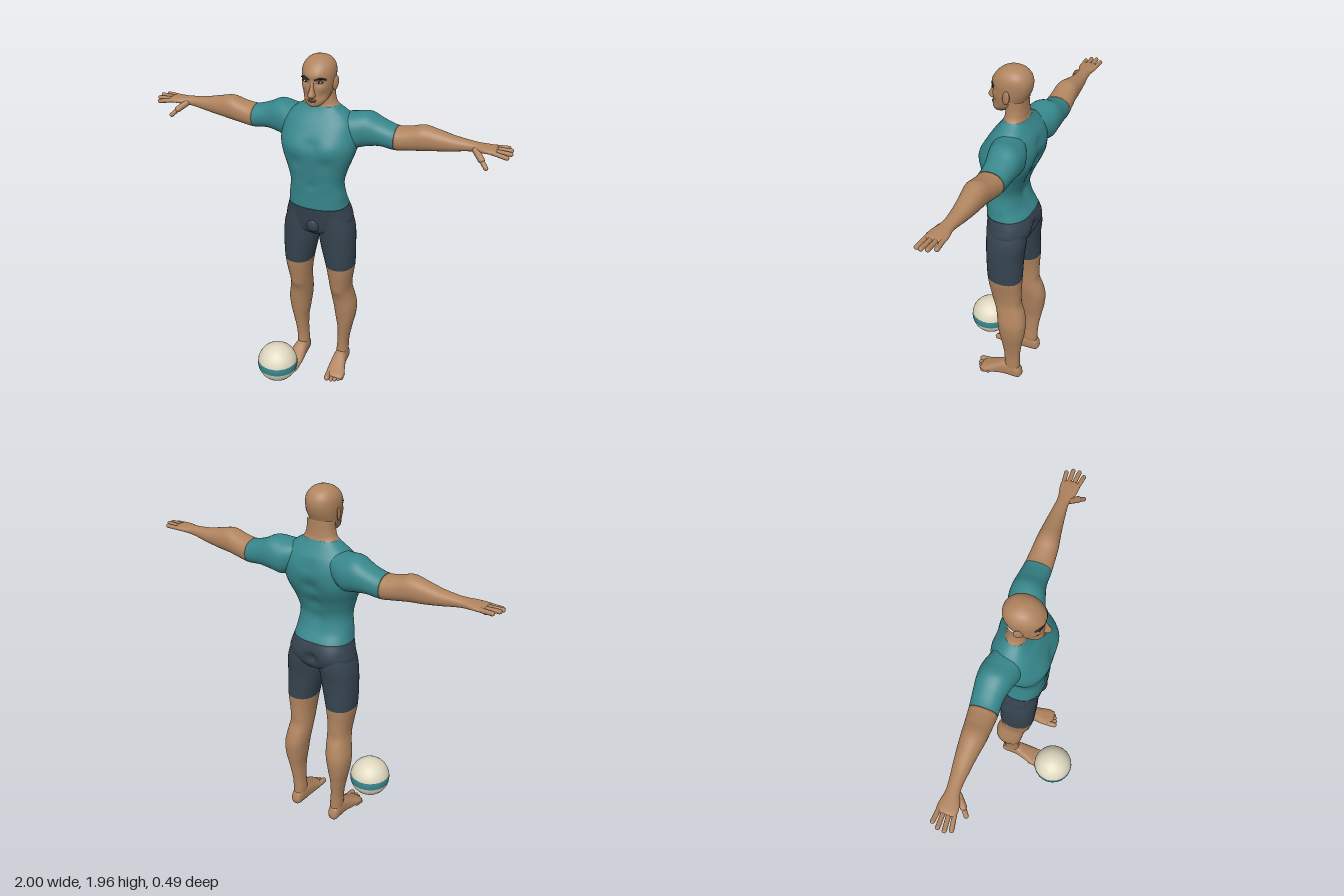
import * as THREE from 'three';

const V = (x, y, z) => new THREE.Vector3(x, y, z);
const paint = (name, color) => Object.assign(new THREE.MeshStandardMaterial({ color }), { name });

// Smooth interpolation of the section table at station t
function sample(rows, t) {
  let i = 0;
  while (i < rows.length - 2 && t > rows[i + 1][0]) i++;
  const a = rows[i], b = rows[i + 1], p = rows[i - 1] || a, n = rows[i + 2] || b;
  const h = b[0] - a[0], u = (t - a[0]) / h;
  return [1, 2, 3, 4].map((k) => {
    const m0 = (b[k] - p[k]) / (b[0] - p[0]) * h, m1 = (n[k] - a[k]) / (n[0] - a[0]) * h;
    const d = b[k] - a[k];
    return a[k] + u * (m0 + u * (3 * d - 2 * m0 - m1 + u * (m0 + m1 - 2 * d)));
  });
}

// Loft of rounded sections along an axis. Row: [station, aMin, aMax, bMin, bMax]
// with (a, b) = (z, y) along x, (x, z) along y and (y, x) along z.
// Bumps [x, y, z, radius, amount] push the skin out or in, on both sides of x = 0.
function loft(axis, rows, from, to, { p = 2.2, bumps = [], cap = false, n = 36, seg = 32 } = {}) {
  const order = { x: [0, 2, 1], y: [1, 0, 2], z: [2, 1, 0] }[axis];
  const pos = [], idx = [];
  const sp = (c) => Math.sign(c) * Math.abs(c) ** (2 / p);
  const put = (t, a, b) => {
    const v = [0, 0, 0];
    v[order[0]] = t; v[order[1]] = a; v[order[2]] = b;
    return v;
  };
  for (let j = 0; j <= seg; j++) {
    const t = from + (to - from) * j / seg;
    const [a0, a1, b0, b1] = sample(rows, t), ca = (a0 + a1) / 2, cb = (b0 + b1) / 2;
    for (let i = 0; i < n; i++) {
      const th = i / n * Math.PI * 2;
      let da = sp(Math.cos(th)) * (a1 - a0) / 2, db = sp(Math.sin(th)) * (b1 - b0) / 2;
      const [x, y, z] = put(t, ca + da, cb + db);
      let push = 0;
      for (const [bx, by, bz, r, amt] of bumps)
        push += amt * Math.exp(-((Math.abs(x) - bx) ** 2 + (y - by) ** 2 + (z - bz) ** 2) / (r * r));
      const s = 1 + push / Math.max(Math.hypot(da, db), 0.01);
      pos.push(...put(t, ca + da * s, cb + db * s));
    }
  }
  for (let j = 0; j < seg; j++) for (let i = 0; i < n; i++) {
    const a = j * n + i, b = j * n + (i + 1) % n;
    idx.push(a, a + n, b, b, a + n, b + n);
  }
  if (cap) [[0, from], [seg, to]].forEach(([j, t], e) => {
    const [a0, a1, b0, b1] = sample(rows, t), c = pos.length / 3;
    pos.push(...put(t, (a0 + a1) / 2, (b0 + b1) / 2));
    for (let i = 0; i < n; i++) {
      const a = j * n + i, b = j * n + (i + 1) % n;
      idx.push(...(e ? [c, b, a] : [c, a, b]));
    }
  });
  const g = new THREE.BufferGeometry();
  g.setAttribute('position', new THREE.Float32BufferAttribute(pos, 3));
  g.setIndex(idx);
  g.computeVertexNormals();
  return g;
}

function capsule(a, b, r) {
  const d = b.clone().sub(a), g = new THREE.CapsuleGeometry(r, d.length(), 5, 12);
  g.applyQuaternion(new THREE.Quaternion().setFromUnitVectors(V(0, 1, 0), d.normalize()));
  return g.translate((a.x + b.x) / 2, (a.y + b.y) / 2, (a.z + b.z) / 2);
}
const blob = (c, r) => new THREE.SphereGeometry(1, 20, 14).scale(...r).translate(...c);

function mirrored(g) {
  const m = g.clone(), p = m.attributes.position, nr = m.attributes.normal, ix = m.index;
  for (let i = 0; i < p.count; i++) { p.setX(i, -p.getX(i)); nr.setX(i, -nr.getX(i)); }
  for (let i = 0; i < ix.count; i += 3) {
    const t = ix.getX(i);
    ix.setX(i, ix.getX(i + 1)); ix.setX(i + 1, t);
  }
  return m;
}

export function createModel() {
  const root = new THREE.Group();
  root.name = 'athlete';
  const skin = paint('skin', 0xb0845f), teal = paint('teal', 0x37878c), navy = paint('dark slate', 0x35434f);
  const cream = paint('cream', 0xe0d9c1), dark = paint('dark brown', 0x2f2824), white = paint('eye white', 0xd8d4cc);
  const lip = paint('lip', 0x875f4a);
  const add = (name, g, m) => {
    const mesh = new THREE.Mesh(g, m);
    mesh.name = name;
    root.add(mesh);
  };
  const pair = (name, g, m) => {
    add(name + 'Left', g, m);
    add(name + 'Right', mirrored(g), m);
  };

  // Trunk: hips, shirt and neck share one set of sections
  const sym = (r) => [r[0], -r[1], r[1], r[2], r[3]];
  const trunk = [
    [0.955, 0.05, -0.15, -0.03], [0.985, 0.145, -0.195, 0], [1.04, 0.187, -0.218, 0.014], [1.09, 0.18, -0.22, 0.022],
    [1.14, 0.165, -0.207, 0.03], [1.2, 0.156, -0.175, 0.032], [1.28, 0.147, -0.162, 0.036], [1.36, 0.166, -0.185, 0.047],
    [1.44, 0.194, -0.215, 0.056], [1.5, 0.207, -0.234, 0.054], [1.56, 0.203, -0.24, 0.032], [1.62, 0.186, -0.222, -0.002],
    [1.66, 0.15, -0.195, -0.034], [1.7, 0.095, -0.17, -0.054], [1.74, 0.078, -0.164, -0.057], [1.8, 0.074, -0.163, -0.06],
  ].map(sym);
  const bumps = [
    [0.09, 1.5, 0.04, 0.065, 0.012], [0, 1.52, 0.05, 0.03, -0.01], [0.08, 1.415, 0.05, 0.035, -0.008],
    [0, 1.28, 0.04, 0.022, -0.006], [0.07, 1.27, 0.03, 0.04, 0.004], [0, 1.26, -0.16, 0.045, -0.012],
    [0, 1.36, -0.19, 0.045, -0.016], [0, 1.47, -0.22, 0.045, -0.018], [0, 1.57, -0.23, 0.04, -0.012],
    [0.12, 1.46, -0.2, 0.07, 0.01], [0.085, 1.06, -0.2, 0.06, 0.012], [0, 1.05, -0.215, 0.028, -0.028],
  ];
  add('shortsHips', loft('y', trunk, 0.955, 1.14, { p: 2.4, bumps, cap: true, n: 56 }), navy);
  add('shirtBody', loft('y', trunk, 1.14, 1.7, { p: 2.4, bumps, n: 56, seg: 56 }), teal);
  add('neck', loft('y', trunk, 1.7, 1.8, { p: 2.3 }), skin);
  add('shortsFront', blob([0, 1.03, -0.008], [0.042, 0.05, 0.036]), navy);

  // Arms: sleeve, bare arm and hand
  const arm = [
    [0.1, -0.205, -0.045, 1.53, 1.655], [0.18, -0.24, -0.045, 1.475, 1.662], [0.25, -0.244, -0.066, 1.485, 1.668],
    [0.32, -0.238, -0.083, 1.495, 1.636], [0.4, -0.23, -0.085, 1.488, 1.612], [0.47, -0.222, -0.088, 1.497, 1.622],
    [0.54, -0.215, -0.092, 1.507, 1.641], [0.62, -0.208, -0.105, 1.517, 1.626], [0.7, -0.199, -0.115, 1.53, 1.608],
    [0.78, -0.189, -0.122, 1.545, 1.598], [0.82, -0.188, -0.116, 1.55, 1.594], [0.86, -0.196, -0.102, 1.555, 1.591],
    [0.905, -0.199, -0.098, 1.559, 1.587], [0.92, -0.19, -0.105, 1.564, 1.583],
  ];
  pair('sleeve', loft('x', arm, 0.1, 0.4), teal);
  pair('armAndPalm', loft('x', arm, 0.4, 0.92, { cap: true, seg: 52 }), skin);
  [[-0.185, -0.192, 0.965, 1.575], [-0.161, -0.16, 0.985, 1.577], [-0.136, -0.128, 0.988, 1.572], [-0.112, -0.099, 0.975, 1.562]]
    .forEach(([z0, z1, x, y], i) => pair('finger' + (i + 1), capsule(V(0.89, 1.573, z0), V(x, y, z1), 0.0115), skin));
  pair('thumbBase', capsule(V(0.815, 1.566, -0.125), V(0.855, 1.535, -0.09), 0.017), skin);
  pair('thumb', capsule(V(0.85, 1.538, -0.094), V(0.885, 1.505, -0.068), 0.012), skin);

  // Legs: shorts leg, bare leg, foot and toes
  const leg = [
    [0.06, 0.098, 0.16, -0.208, -0.112], [0.1, 0.094, 0.163, -0.207, -0.115], [0.18, 0.1, 0.166, -0.209, -0.113],
    [0.28, 0.099, 0.183, -0.222, -0.1], [0.36, 0.087, 0.2, -0.236, -0.087], [0.44, 0.077, 0.206, -0.239, -0.076],
    [0.51, 0.068, 0.195, -0.228, -0.065], [0.58, 0.064, 0.184, -0.211, -0.046], [0.65, 0.059, 0.19, -0.203, -0.026],
    [0.75, 0.043, 0.205, -0.205, -0.01], [0.9, 0.01, 0.208, -0.204, 0.001], [1, 0.001, 0.2, -0.213, 0.006],
    [1.1, 0.005, 0.168, -0.205, 0.01],
  ];
  const kneeBumps = [[0.125, 0.585, -0.045, 0.035, 0.008], [0.125, 0.57, -0.21, 0.04, -0.008], [0.1, 0.45, -0.23, 0.05, 0.004]];
  pair('shortsLeg', loft('y', leg, 0.75, 1.1), navy);
  pair('bareLeg', loft('y', leg, 0.06, 0.75, { bumps: kneeBumps, seg: 60 }), skin);
  const foot = [
    [-0.222, 0.022, 0.048, 0.115, 0.143], [-0.212, 0.006, 0.078, 0.102, 0.157], [-0.17, 0, 0.105, 0.094, 0.163],
    [-0.115, 0, 0.105, 0.09, 0.168], [-0.06, 0, 0.075, 0.086, 0.183], [-0.01, 0, 0.048, 0.086, 0.196],
    [0.02, 0.002, 0.034, 0.092, 0.19], [0.03, 0.008, 0.026, 0.1, 0.175],
  ];
  pair('foot', loft('z', foot, -0.222, 0.03, { p: 2.5, cap: true }), skin);
  [[0.106, 0.046, 0.017], [0.133, 0.046, 0.012], [0.153, 0.038, 0.0115], [0.171, 0.026, 0.011], [0.187, 0.012, 0.0105]]
    .forEach(([x, z, r], i) => pair('toe' + (i + 1), capsule(V(x - 0.003, r + 0.004, z - 0.04), V(x, r, z), r), skin));

  // Head
  const head = [
    [1.713, 0.02, -0.035, 0], [1.722, 0.036, -0.055, 0.012], [1.745, 0.058, -0.095, 0.018], [1.775, 0.071, -0.145, 0.018],
    [1.81, 0.079, -0.167, 0.018], [1.85, 0.084, -0.182, 0.018], [1.885, 0.085, -0.186, 0.017], [1.915, 0.079, -0.178, 0.003],
    [1.94, 0.062, -0.158, -0.022], [1.955, 0.039, -0.13, -0.05], [1.962, 0.012, -0.1, -0.08],
  ].map(sym);
  const faceBumps = [
    [0.035, 1.848, 0.012, 0.02, -0.008], [0.02, 1.875, 0.02, 0.025, 0.004], [0, 1.728, 0.015, 0.02, 0.004],
    [0.055, 1.82, -0.005, 0.025, 0.004], [0.05, 1.78, 0, 0.025, -0.005],
  ];
  add('head', loft('y', head, 1.713, 1.962, { p: 2.15, bumps: faceBumps, cap: true, n: 64, seg: 64 }), skin);
  const nose = [
    [1.768, 0.01, 0, 0.026], [1.774, 0.018, 0, 0.042], [1.785, 0.019, 0, 0.048], [1.81, 0.012, 0, 0.037],
    [1.84, 0.009, 0, 0.024], [1.865, 0.011, 0, 0.018],
  ].map(sym);
  add('nose', loft('y', nose, 1.768, 1.865, { p: 2, cap: true, n: 20, seg: 20 }), skin);
  add('upperLip', blob([0, 1.756, 0.015], [0.024, 0.005, 0.012]), lip);
  add('lowerLip', blob([0, 1.747, 0.014], [0.02, 0.005, 0.012]), lip);

  // Ears, eyes and brows
  pair('ear', new THREE.SphereGeometry(1, 20, 14).scale(0.009, 0.037, 0.022).rotateX(-0.2).rotateY(-0.35)
    .translate(0.087, 1.826, -0.086), skin);
  pair('eyeLid', blob([0.036, 1.851, 0.003], [0.02, 0.009, 0.008]), dark);
  pair('eye', blob([0.036, 1.849, 0.0045], [0.016, 0.0065, 0.009]), white);
  pair('iris', blob([0.035, 1.85, 0.0105], [0.006, 0.006, 0.004]), dark);
  const brow = new THREE.CatmullRomCurve3([V(0.014, 1.861, 0.018), V(0.04, 1.87, 0.01), V(0.066, 1.862, -0.011)]);
  pair('brow', new THREE.TubeGeometry(brow, 12, 0.0045, 8), dark);

  // Ball with a band two rows high
  const row = Math.PI / 16;
  [['ballTop', 0, 7, cream], ['ballBand', 7, 2, teal], ['ballBottom', 9, 7, cream]].forEach(([name, start, count, m]) =>
    add(name, new THREE.SphereGeometry(0.118, 24, count, 0, Math.PI * 2, start * row, count * row)
      .translate(-0.175, 0.121, 0.13), m));
  return root;
}
